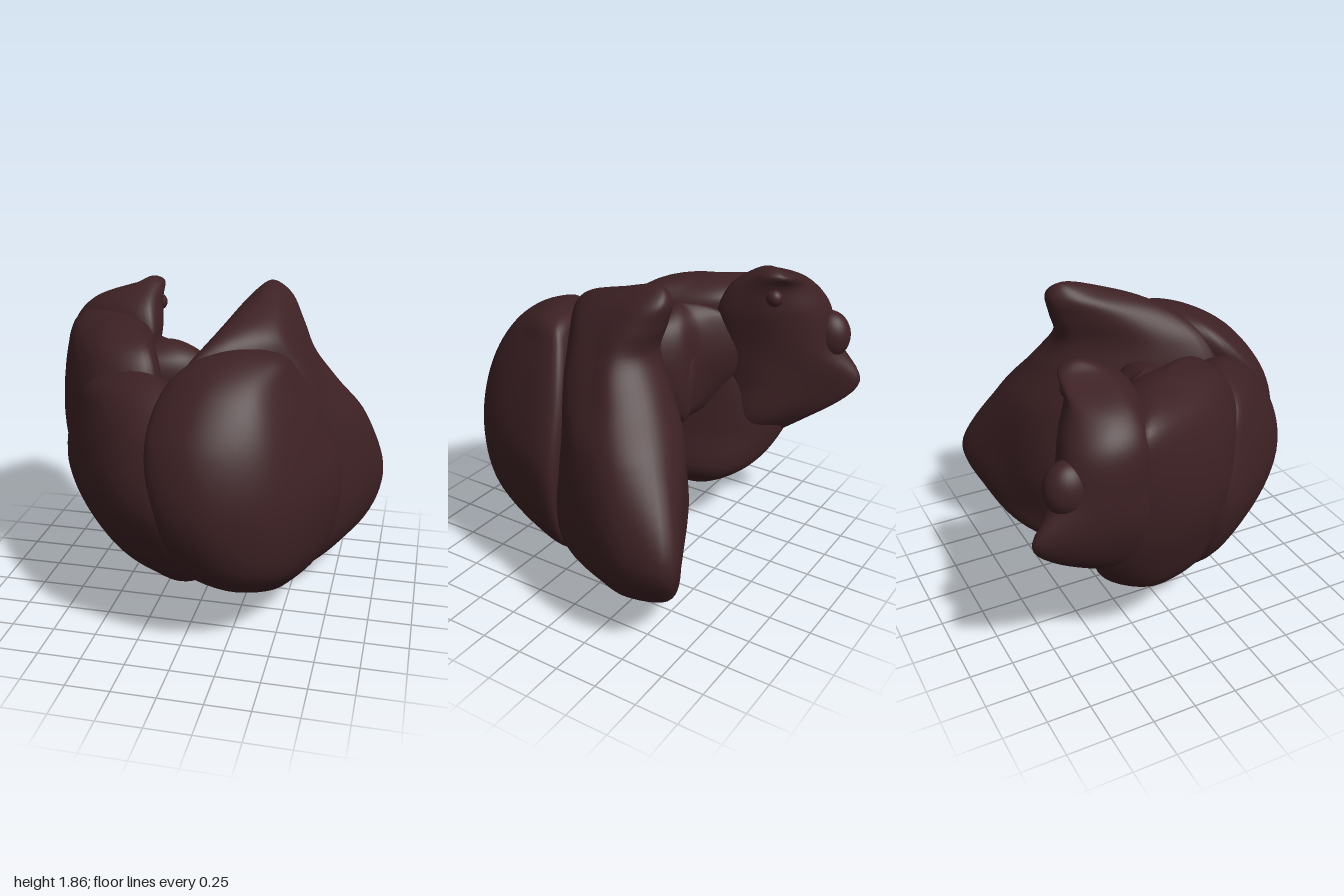
import * as THREE from 'three';
import { mergeVertices } from 'three/addons/utils/BufferGeometryUtils.js';

const RING = 48, STEPS = 8;

// Smooth closed ring from one row [y, x, z, x, z, ...]
function ring([y, ...xz]) {
  const pts = [];
  for (let i = 0; i < xz.length; i += 2) pts.push(new THREE.Vector3(xz[i], y, xz[i + 1]));
  const area = pts.reduce((s, p, i) => {
    const q = pts[(i + 1) % pts.length];
    return s + p.z * q.x - p.x * q.z;
  }, 0);
  if (area < 0) pts.reverse();
  const curve = new THREE.CatmullRomCurve3(pts, true);
  return Array.from({ length: RING }, (_, i) => curve.getPoint(i / RING));
}

// Rounded lobe lofted upward from a bottom pole through rings to a top pole
function lobeGeometry(bottom, rows, top) {
  const rings = rows.map(ring);
  const lo = new THREE.Vector3(...bottom), hi = new THREE.Vector3(...top);
  const spans = rings.length + 1, levels = spans * STEPS;
  const pos = [], index = [];
  for (let i = 0; i < RING; i++) {
    const opposite = (i + RING / 2) % RING;
    // The column carries on over each pole, so the ends come out round
    const curve = new THREE.CatmullRomCurve3([
      rings[0][opposite], lo, ...rings.map(r => r[i]), hi, rings[rings.length - 1][opposite]]);
    for (let k = 0; k <= levels; k++) {
      const p = k === 0 ? lo : k === levels ? hi : curve.getPoint((1 + k / STEPS) / (spans + 2));
      pos.push(p.x, p.y, p.z);
    }
  }
  const at = (i, k) => (i % RING) * (levels + 1) + k;
  for (let i = 0; i < RING; i++) {
    for (let k = 0; k < levels; k++) {
      const a = at(i, k), b = at(i + 1, k), c = at(i, k + 1), d = at(i + 1, k + 1);
      if (k < levels - 1) index.push(a, d, c);
      if (k > 0) index.push(a, b, d);
    }
  }
  const geo = new THREE.BufferGeometry();
  geo.setAttribute('position', new THREE.Float32BufferAttribute(pos, 3));
  geo.setIndex(index);
  const merged = mergeVertices(geo, 1e-5);
  merged.computeVertexNormals();
  return merged;
}

export function createModel() {
  const model = new THREE.Group();
  model.name = 'liver';
  const tissue = new THREE.MeshStandardMaterial({ color: 0x3d2124 });
  tissue.name = 'dark liver tissue';

  const add = (name, geo) => {
    const mesh = new THREE.Mesh(geo, tissue);
    mesh.name = name;
    model.add(mesh);
    return mesh;
  };
  const lobe = (name, bottom, rows, top) => add(name, lobeGeometry(bottom, rows, top));
  const nodule = (name, p, r, rotZ = 0) => {
    const mesh = add(name, new THREE.SphereGeometry(1, 32, 20));
    mesh.position.set(...p);
    mesh.scale.set(...r);
    mesh.rotation.z = rotZ;
  };

  // Large front lobe on the left side
  lobe('leftMedialLobe', [0.47, 0.17, 0.22], [
    [0.3, 0.1, 0.5, 0.27, 0.62, 0.45, 0.55, 0.6, 0.32, 0.63, 0.15, 0.25, 0.2],
    [0.5, -0.02, 0.75, 0.2, 0.86, 0.47, 0.78, 0.68, 0.42, 0.73, 0.12, 0.15, 0.35],
    [0.85, -0.13, 0.87, 0.15, 0.975, 0.5, 0.82, 0.72, 0.42, 0.77, 0.1, 0.1, 0.4],
    [1.2, -0.18, 0.78, 0.1, 0.91, 0.44, 0.78, 0.62, 0.43, 0.66, 0.13, 0.05, 0.38],
    [1.45, -0.12, 0.58, 0.1, 0.73, 0.37, 0.66, 0.52, 0.4, 0.54, 0.2, 0.1, 0.32],
    [1.57, 0.02, 0.47, 0.15, 0.56, 0.33, 0.52, 0.46, 0.38, 0.46, 0.26, 0.18, 0.28],
  ], [0.28, 1.62, 0.38]);

  // Tall peaked wing sweeping back on the left side
  lobe('leftLateralLobe', [0.28, 0, -0.1], [
    [0.15, 0.28, 0.24, 0.52, 0.05, 0.64, -0.2, 0.66, -0.36, 0.57, -0.52, 0.38, -0.46, 0.22, -0.25, 0.16, 0],
    [0.35, 0.13, 0.47, 0.68, 0.1, 0.85, -0.25, 0.9, -0.45, 0.82, -0.67, 0.52, -0.58, 0.24, -0.37, 0.1, 0.1],
    [0.6, 0, 0.56, 0.74, 0.1, 0.93, -0.25, 0.99, -0.52, 0.92, -0.76, 0.56, -0.61, 0.19, -0.4, 0.01, 0.13],
    [1.05, -0.1, 0.57, 0.67, 0.1, 0.83, -0.15, 0.87, -0.38, 0.72, -0.56, 0.43, -0.53, 0.16, -0.29, -0.05, 0.13],
    [1.3, -0.12, 0.53, 0.58, 0.15, 0.68, -0.1, 0.7, -0.25, 0.55, -0.4, 0.34, -0.39, 0.16, -0.2, -0.04, 0.15],
    [1.5, -0.04, 0.46, 0.5, 0.15, 0.56, -0.05, 0.57, -0.17, 0.46, -0.28, 0.29, -0.29, 0.16, -0.12, 0, 0.17],
    [1.65, 0.1, 0.31, 0.4, 0.17, 0.48, -0.05, 0.5, -0.2, 0.42, -0.32, 0.28, -0.33, 0.17, -0.18, 0.08, 0.07],
    [1.78, 0.25, -0.01, 0.35, -0.05, 0.4, -0.16, 0.42, -0.26, 0.38, -0.35, 0.29, -0.36, 0.21, -0.27, 0.19, -0.14],
  ], [0.3, 1.85, -0.3]);

  // Front lobe on the right side
  lobe('rightMedialLobe', [-0.12, 0.16, 0.3], [
    [0.3, 0.05, 0.5, -0.15, 0.52, -0.35, 0.38, -0.5, 0.12, -0.4, 0.05, -0.15, 0.12, 0.1, 0.35],
    [0.5, 0, 0.75, -0.25, 0.71, -0.52, 0.46, -0.7, 0.12, -0.5, 0.02, -0.25, 0.15, 0.08, 0.45],
    [0.85, -0.02, 0.9, -0.28, 0.85, -0.62, 0.54, -0.82, 0.15, -0.6, 0.05, -0.3, 0.2, 0, 0.5],
    [1.2, -0.05, 0.78, -0.28, 0.75, -0.58, 0.5, -0.75, 0.2, -0.55, 0.12, -0.3, 0.2, -0.02, 0.45],
    [1.38, -0.1, 0.58, -0.25, 0.6, -0.48, 0.48, -0.6, 0.32, -0.5, 0.25, -0.3, 0.25, -0.1, 0.4],
  ], [-0.3, 1.46, 0.4]);

  // Side lobe on the right side
  lobe('rightLateralLobe', [-0.45, 0.27, -0.05], [
    [0.42, -0.25, 0.25, -0.5, 0.25, -0.65, 0.08, -0.72, -0.25, -0.58, -0.41, -0.39, -0.34, -0.26, 0],
    [0.7, -0.2, 0.33, -0.55, 0.32, -0.78, 0.1, -0.87, -0.35, -0.75, -0.58, -0.46, -0.42, -0.28, 0],
    [1.0, -0.25, 0.34, -0.6, 0.36, -0.86, 0.1, -0.96, -0.38, -0.85, -0.6, -0.5, -0.42, -0.3, 0],
    [1.35, -0.25, 0.33, -0.55, 0.36, -0.82, 0.1, -0.97, -0.4, -0.8, -0.5, -0.45, -0.25, -0.28, 0.07],
    [1.55, -0.32, 0.23, -0.55, 0.24, -0.75, 0.03, -0.92, -0.38, -0.75, -0.42, -0.46, -0.25, -0.36, 0],
  ], [-0.6, 1.63, -0.13]);

  // Rear lobe with its pointed back corner and upturned top
  lobe('caudateLobe', [-0.64, 0.6, -0.38], [
    [0.75, -0.8, -0.3, -0.85, -0.5, -0.78, -0.69, -0.68, -0.62, -0.49, -0.42, -0.52, -0.24],
    [1.03, -0.94, -0.35, -0.97, -0.68, -0.88, -0.98, -0.77, -0.84, -0.49, -0.48, -0.48, -0.24],
    [1.25, -0.96, -0.38, -0.995, -0.64, -0.89, -0.83, -0.68, -0.77, -0.46, -0.46, -0.44, -0.24],
    [1.5, -0.94, -0.38, -0.97, -0.6, -0.86, -0.75, -0.65, -0.73, -0.43, -0.52, -0.42, -0.24],
    [1.64, -0.83, -0.4, -0.85, -0.55, -0.75, -0.68, -0.58, -0.66, -0.43, -0.54, -0.45, -0.3],
    [1.74, -0.59, -0.44, -0.58, -0.54, -0.53, -0.64, -0.45, -0.63, -0.42, -0.53, -0.48, -0.43],
  ], [-0.49, 1.78, -0.55]);

  // Small inner lobe between the wings, with a fold on its back
  lobe('papillaryLobe', [-0.2, 0.78, -0.03], [
    [0.87, -0.05, -0.05, -0.16, 0.08, -0.38, 0.1, -0.42, -0.2, -0.28, -0.18, -0.12, -0.17],
    [1.2, 0.03, -0.05, -0.13, 0.1, -0.4, 0.14, -0.47, -0.38, -0.25, -0.22, -0.09, -0.19],
    [1.45, -0.06, -0.05, -0.16, 0.08, -0.4, 0.1, -0.44, -0.3, -0.28, -0.18, -0.14, -0.14],
  ], [-0.27, 1.53, -0.05]);
  nodule('papillaryFold', [-0.19, 1.08, -0.17], [0.07, 0.24, 0.055], 0.15);

  // Tissue joining the two wings, and the bumps on the rear lobe
  nodule('centralBridge', [-0.14, 0.85, 0.33], [0.14, 0.5, 0.2]);
  nodule('rearNodule', [-0.85, 1.3, -0.77], [0.11, 0.15, 0.13]);
  nodule('sideNub', [-0.46, 1.61, -0.58], [0.045, 0.05, 0.05]);

  // Stand on the ground, centred
  const box = new THREE.Box3().setFromObject(model, true);
  const c = box.getCenter(new THREE.Vector3());
  for (const m of model.children) m.position.sub(new THREE.Vector3(c.x, box.min.y, c.z));
  return model;
}
